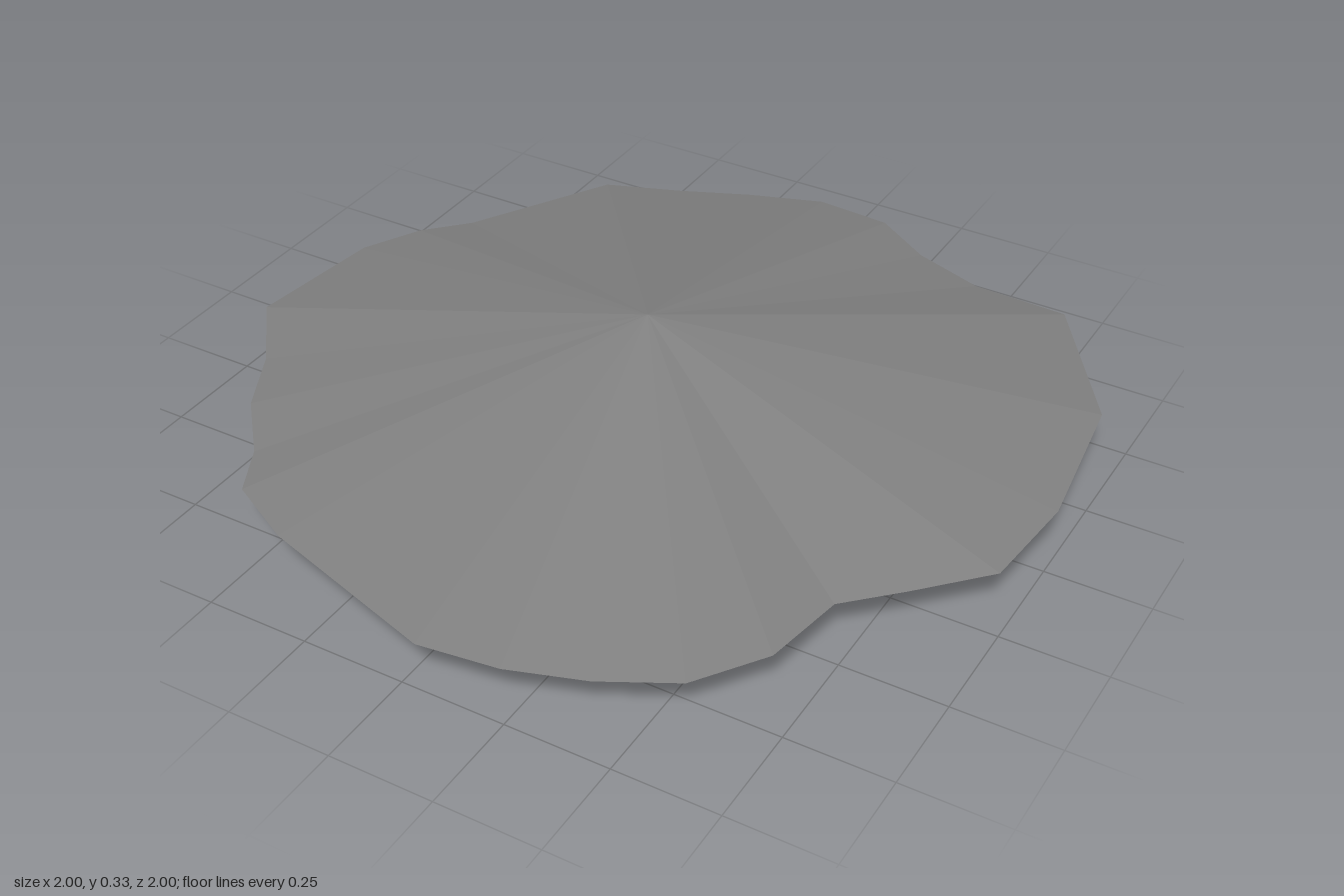
import * as THREE from 'three';

// Irregular rim, [x, z], clockwise seen from above
const RIM = [
  [-0.05, -1], [0.14, -0.985], [0.29, -0.885], [0.47, -0.82], [0.71, -0.81], [0.945, -0.455],
  [0.995, -0.065], [0.97, 0.195], [0.83, 0.345], [0.715, 0.46], [0.68, 0.665], [0.57, 0.825],
  [0.405, 0.915], [0.23, 0.975], [0.04, 1], [-0.415, 0.86], [-0.585, 0.77],
  [-0.65, 0.645], [-0.775, 0.5], [-0.86, 0.335], [-1, 0.155], [-0.96, -0.195],
  [-0.885, -0.34], [-0.79, -0.44], [-0.59, -0.79], [-0.405, -0.86], [-0.235, -0.935],
];

// Ring at height y: the rim direction, with its radius blended between rim shape and a circle
function ring(radius, y, round) {
  return RIM.map(([x, z]) => {
    const r = Math.hypot(x, z);
    const k = radius * ((1 - round) + round / r);
    return [x * k, y, z * k];
  });
}

// Joins successive rings with bands; flip turns the faces upward
function bands(rings, flip = false) {
  const pos = [];
  const tri = (a, b, c) => pos.push(...a, ...(flip ? c : b), ...(flip ? b : c));
  for (let j = 0; j < rings.length - 1; j++) {
    const a = rings[j], b = rings[j + 1];
    for (let i = 0; i < RIM.length; i++) {
      const n = (i + 1) % RIM.length;
      tri(a[i], a[n], b[i]);
      if (b[i] !== b[n]) tri(a[n], b[n], b[i]);
    }
  }
  const g = new THREE.BufferGeometry();
  g.setAttribute('position', new THREE.Float32BufferAttribute(pos, 3));
  g.computeVertexNormals();
  return g;
}

export function createModel() {
  const group = new THREE.Group();
  const grey = new THREE.MeshStandardMaterial({ color: 0x808080, flatShading: true });
  grey.name = 'grey';
  const add = (name, geometry) => {
    const mesh = new THREE.Mesh(geometry, grey);
    mesh.name = name;
    group.add(mesh);
    return mesh;
  };
  const point = (x, y, z) => Array(RIM.length).fill([x, y, z]);
  const rim = ring(1, 0.12, 0);

  // Shallow cone on top
  add('upperCone', bands([rim, point(-0.01, 0.328, -0.015)], true));

  // Stepped bowl below, ending in a flat floor
  add('underside', bands([
    rim, ring(0.75, 0.08, 0.1), ring(0.55, 0.04, 0.4), ring(0.435, 0.02, 0.85), point(0.06, 0.02, 0.01),
  ]));

  // Small bevelled foot
  const foot = add('foot', new THREE.CylinderGeometry(0.138, 0.115, 0.02, 20));
  foot.position.set(0.06, 0.01, 0.01);
  return group;
}
